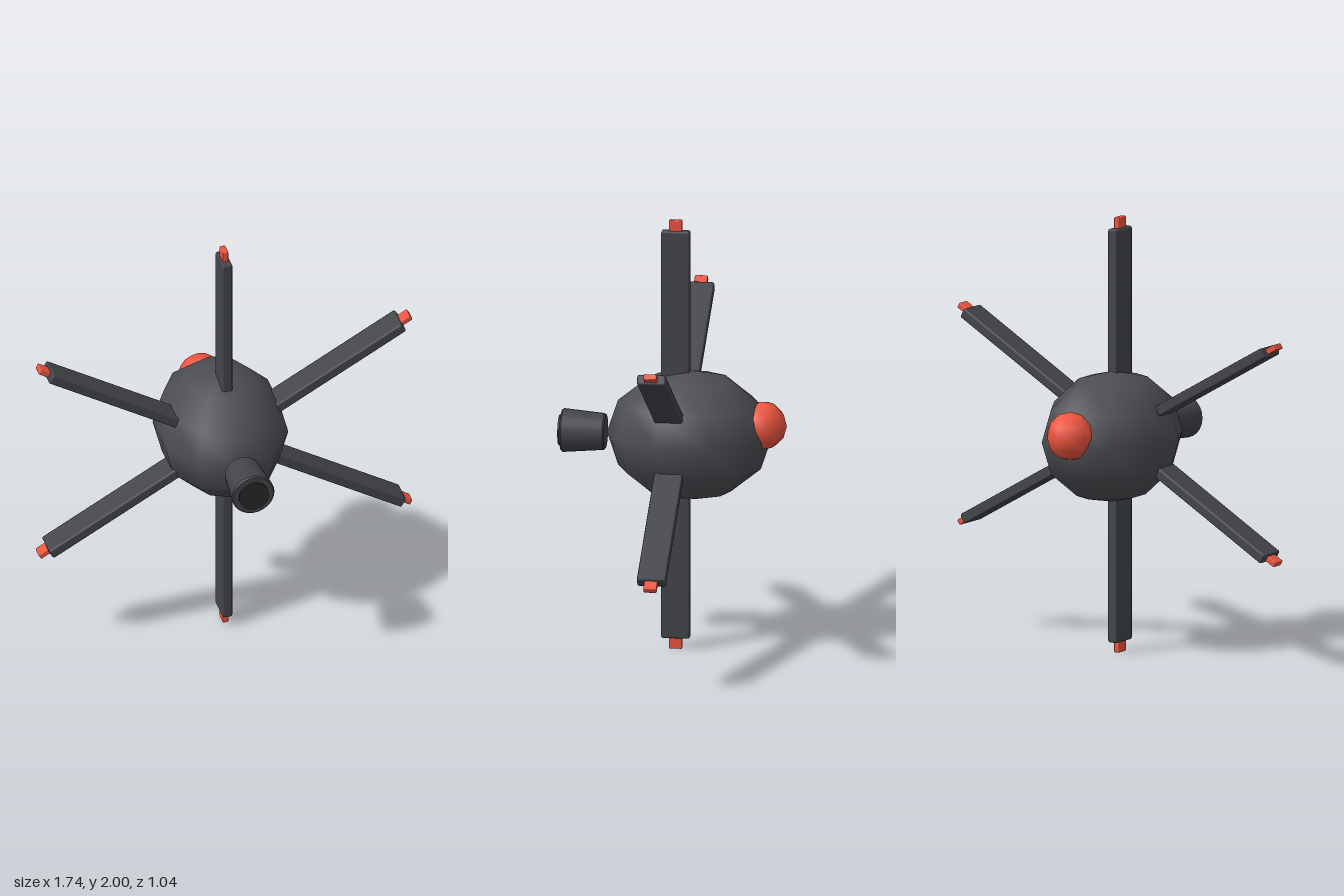
import * as THREE from 'three';
import { RoundedBoxGeometry } from 'three/addons/geometries/RoundedBoxGeometry.js';

const shell = new THREE.MeshStandardMaterial({ color: 0x4d4e53 });
const metal = new THREE.MeshStandardMaterial({ color: 0x43454a });
const dark = new THREE.MeshStandardMaterial({ color: 0x262828 });
const red = new THREE.MeshStandardMaterial({ color: 0xee5540 });

function add(parent, name, geometry, material, x = 0, y = 0, z = 0) {
  const mesh = new THREE.Mesh(geometry, material);
  mesh.name = name;
  mesh.position.set(x, y, z);
  parent.add(mesh);
  return mesh;
}

// Coarse ball with a ring corner pointing along z
const ball = (r) => new THREE.SphereGeometry(r, 10, 6).rotateY(Math.PI / 2);

export function createModel() {
  const model = new THREE.Group();
  model.name = 'spokedProbe';

  // Egg-shaped body, stretched front to back
  add(model, 'body', ball(0.3).scale(1, 1, 1.25), shell, 0, 1, -0.075);

  // Red dome at the back
  add(model, 'rearDome', ball(0.11), red, 0, 1.055, -0.408);

  // Six flat vanes with red tips, spread around the z axis
  const vaneGeometry = new RoundedBoxGeometry(0.048, 0.75, 0.13, 1, 0.009);
  const tipGeometry = new RoundedBoxGeometry(0.027, 0.08, 0.06, 1, 0.005);
  for (let i = 0; i < 6; i++) {
    const vane = new THREE.Group();
    vane.name = 'vane' + (i + 1);
    vane.position.set(0, 1, -0.013);
    vane.rotation.z = (i * Math.PI) / 3;
    add(vane, 'vaneBlade', vaneGeometry, metal, 0, 0.575, 0);
    add(vane, 'vaneTip', tipGeometry, red, 0, 0.96, 0);
    model.add(vane);
  }

  // Flared lens barrel with small chamfers, turned around z
  const profile = [[0, 0], [0.077, 0], [0.083, 0.007], [0.099, 0.193], [0.093, 0.2], [0, 0.2]];
  const segments = [];
  for (let i = 0; i < profile.length - 1; i++) {
    segments.push(profile.slice(i, i + 2).map(([r, h]) => new THREE.Vector2(r, h)));
  }
  const barrel = new THREE.Group();
  barrel.name = 'lensBarrel';
  barrel.position.set(0, 1, 0.305);
  barrel.rotation.x = Math.PI / 2;
  // One lathe per profile segment keeps the rims crisp
  segments.forEach((pts, i) => add(barrel, 'barrelRing' + (i + 1), new THREE.LatheGeometry(pts, 24), metal));
  add(barrel, 'lens', new THREE.CylinderGeometry(0.069, 0.069, 0.02, 24), dark, 0, 0.202, 0);
  model.add(barrel);

  return model;
}
